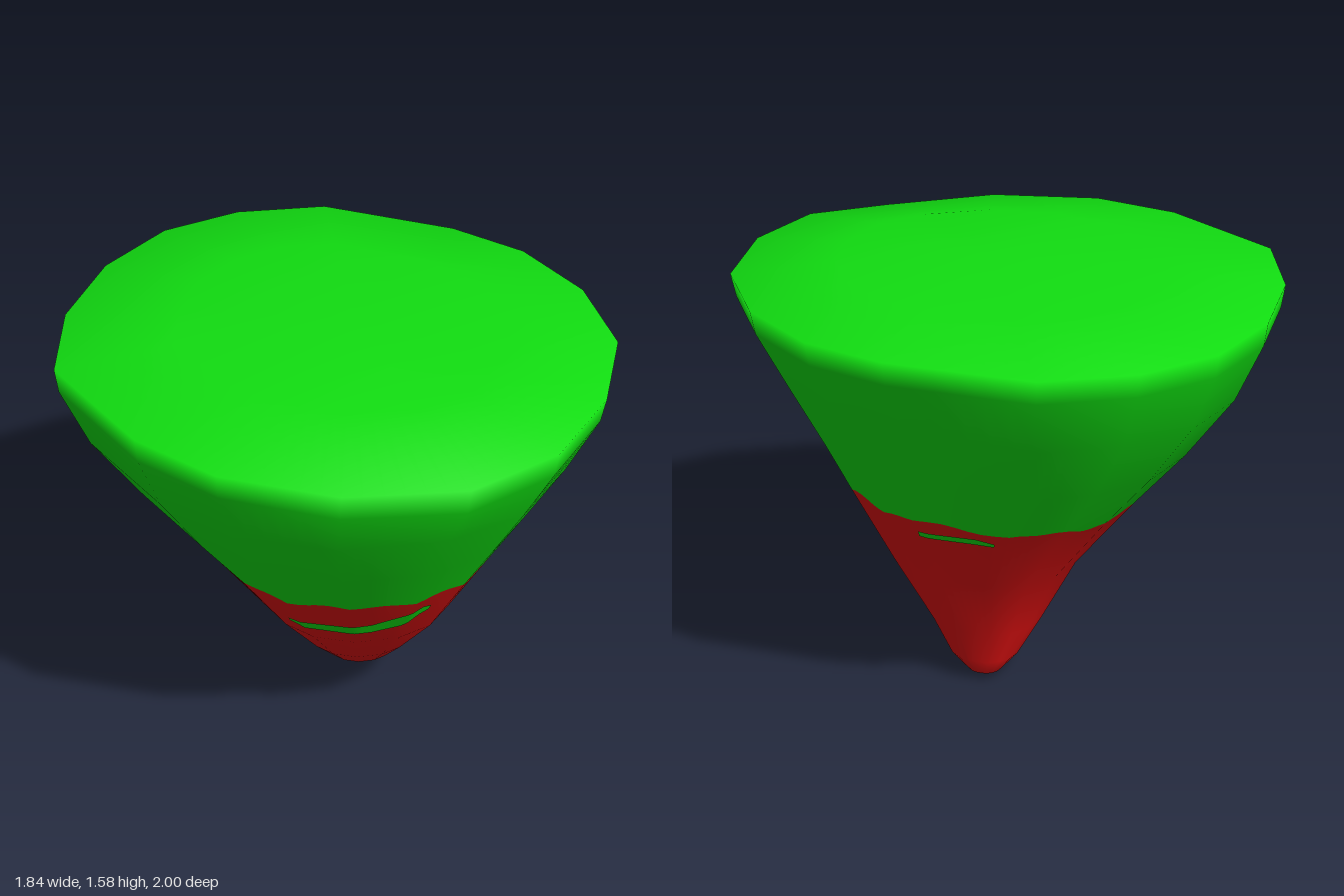
import * as THREE from 'three';

// Sixteen-sided plan outline, clockwise seen from above
const OUTLINE = [[-0.07, -1], [0.27, -1], [0.55, -0.87], [0.78, -0.63], [0.915, -0.13], [0.915, 0.18],
  [0.79, 0.51], [0.54, 0.8], [0.19, 0.96], [-0.17, 0.995], [-0.48, 0.86], [-0.77, 0.56],
  [-0.92, 0.18], [-0.915, -0.16], [-0.74, -0.66], [-0.43, -0.88]];
// How far the rim sags at some corners
const SAG = { 9: 0.015, 10: 0.04, 11: 0.025, 12: 0.012, 13: 0.005 };
// Cross-sections: y, xMin, xMax, zMin, zMax
const RINGS = [[1.42, -0.91, 0.9, -0.985, 0.985], [1.2, -0.82, 0.79, -0.885, 0.875],
  [0.96, -0.665, 0.665, -0.715, 0.73], [0.75, -0.515, 0.56, -0.54, 0.6],
  [0.46, -0.325, 0.41, -0.315, 0.425], [0.22, -0.115, 0.315, -0.205, 0.235],
  [0.09, 0.015, 0.285, -0.145, 0.125], [0.03, 0.12, 0.255, -0.1, 0.03], [0, 0.19, 0.19, -0.05, -0.05]];
const SIDES = 16, STEPS = 6, COLS = SIDES * STEPS;
const lerp = THREE.MathUtils.lerp;

function outlineAt(u) {
  const i = Math.floor(u), t = u - i;
  const a = OUTLINE[i % SIDES], b = OUTLINE[(i + 1) % SIDES];
  return [lerp(a[0], b[0], t), lerp(a[1], b[1], t)];
}
function sagAt(u) {
  const i = Math.floor(u);
  return lerp(SAG[i % SIDES] || 0, SAG[(i + 1) % SIDES] || 0, u - i);
}
// Point on the tapering side wall; grow pushes it outward
function wall(u, y, grow = 0) {
  let k = 0;
  while (k < RINGS.length - 2 && y < RINGS[k + 1][0]) k++;
  const a = RINGS[k], b = RINGS[k + 1], t = (y - a[0]) / (b[0] - a[0]);
  const r = a.map((v, i) => lerp(v, b[i], t));
  const [ox, oz] = outlineAt(u);
  return [(r[1] + r[2]) / 2 + (ox / 0.918) * ((r[2] - r[1]) / 2 + grow), y,
    (r[3] + r[4]) / 2 + oz * ((r[4] - r[3]) / 2 + grow)];
}
// Ragged height where the two colours meet
function edgeHeight(u) {
  const a = (u / SIDES) * Math.PI * 2;
  return 0.747 + 0.024 * Math.cos(a - 2.16) + 0.008 * Math.sin(9 * a) + 0.006 * Math.sin(17 * a + 1);
}
function capRow(scale, y, sag) {
  return u => {
    const [x, z] = outlineAt(u), s = 1 - scale;
    return [x * scale + 0.04 * s, y - sagAt(u) * sag, z * scale + 0.03 * s];
  };
}

function bodyGeometry() {
  const ringRow = r => u => wall(u, r[0]);
  const rows = [capRow(0, 1.58, 0), capRow(0.6, 1.553, 0.15), capRow(1, 1.506, 1),
    u => { const p = wall(u, 1.42); p[1] -= sagAt(u) * 1.2; return p; },
    ...RINGS.slice(1, 3).map(ringRow),
    u => wall(u, edgeHeight(u)),
    ...RINGS.slice(4).map(ringRow)];
  const EDGE = 6, pos = [], idx = [];
  for (const row of rows) for (let c = 0; c < COLS; c++) pos.push(...row(c / STEPS));
  for (let r = 0; r < rows.length - 1; r++) for (let c = 0; c < COLS; c++) {
    const a = r * COLS + c, b = r * COLS + (c + 1) % COLS;
    idx.push(a, b, a + COLS, b, b + COLS, a + COLS);
  }
  const g = new THREE.BufferGeometry();
  g.setAttribute('position', new THREE.Float32BufferAttribute(pos, 3));
  g.setIndex(idx);
  g.computeVertexNormals();
  // Blend normals smoothly from corner to corner
  const n = g.attributes.normal, A = new THREE.Vector3(), B = new THREE.Vector3();
  for (let r = 0; r < rows.length; r++) for (let c = 0; c < COLS; c++) {
    const i = r * COLS + c, k = c % STEPS, c0 = c - k;
    if (r === 0 || r === rows.length - 1) n.setXYZ(i, 0, r === 0 ? 1 : -1, 0);
    else if (k) {
      A.fromBufferAttribute(n, r * COLS + c0);
      B.fromBufferAttribute(n, r * COLS + (c0 + STEPS) % COLS);
      A.lerp(B, k / STEPS).normalize();
      n.setXYZ(i, A.x, A.y, A.z);
    }
  }
  g.addGroup(0, EDGE * COLS * 6, 0);
  g.addGroup(EDGE * COLS * 6, idx.length - EDGE * COLS * 6, 1);
  return g;
}

// Thin painted streak following [u, y, halfHeight] points over the wall
function streakGeometry(path) {
  const pos = [], idx = [], N = 8;
  for (let s = 0; s < path.length - 1; s++) for (let i = s ? 1 : 0; i <= N; i++) {
    const [u, y, h] = path[s].map((v, k) => lerp(v, path[s + 1][k], i / N));
    pos.push(...wall(u, y + h, 0.006), ...wall(u, y - h, 0.006));
  }
  for (let a = 0; a < pos.length / 3 - 2; a += 2) idx.push(a, a + 2, a + 1, a + 2, a + 3, a + 1);
  const g = new THREE.BufferGeometry();
  g.setAttribute('position', new THREE.Float32BufferAttribute(pos, 3));
  g.setIndex(idx);
  g.computeVertexNormals();
  return g;
}

export function createModel() {
  const green = new THREE.MeshStandardMaterial({ color: 0x11dd11 });
  green.name = 'green';
  const red = new THREE.MeshStandardMaterial({ color: 0xdd1111 });
  red.name = 'red';
  const streakGreen = green;
  streakGreen.side = THREE.DoubleSide;

  const model = new THREE.Group();
  model.name = 'taperedTop';
  const add = (name, geometry, material) => {
    const mesh = new THREE.Mesh(geometry, material);
    mesh.name = name;
    model.add(mesh);
  };
  // Green upper body and red pointed tip
  add('body', bodyGeometry(), [green, red]);
  // Green streaks on the red tip
  add('frontStreak', streakGeometry([[9.6, 0.665, 0.015], [9.8, 0.66, 0.03], [10.1, 0.61, 0.04],
    [10.65, 0.57, 0.03], [12, 0.56, 0.022], [12.4, 0.56, 0.01]]), green);
  add('sideStreak', streakGeometry([[3.15, 0.705, 0.008], [3.4, 0.712, 0.014], [4.25, 0.706, 0.012]]), green);
  return model;
}
